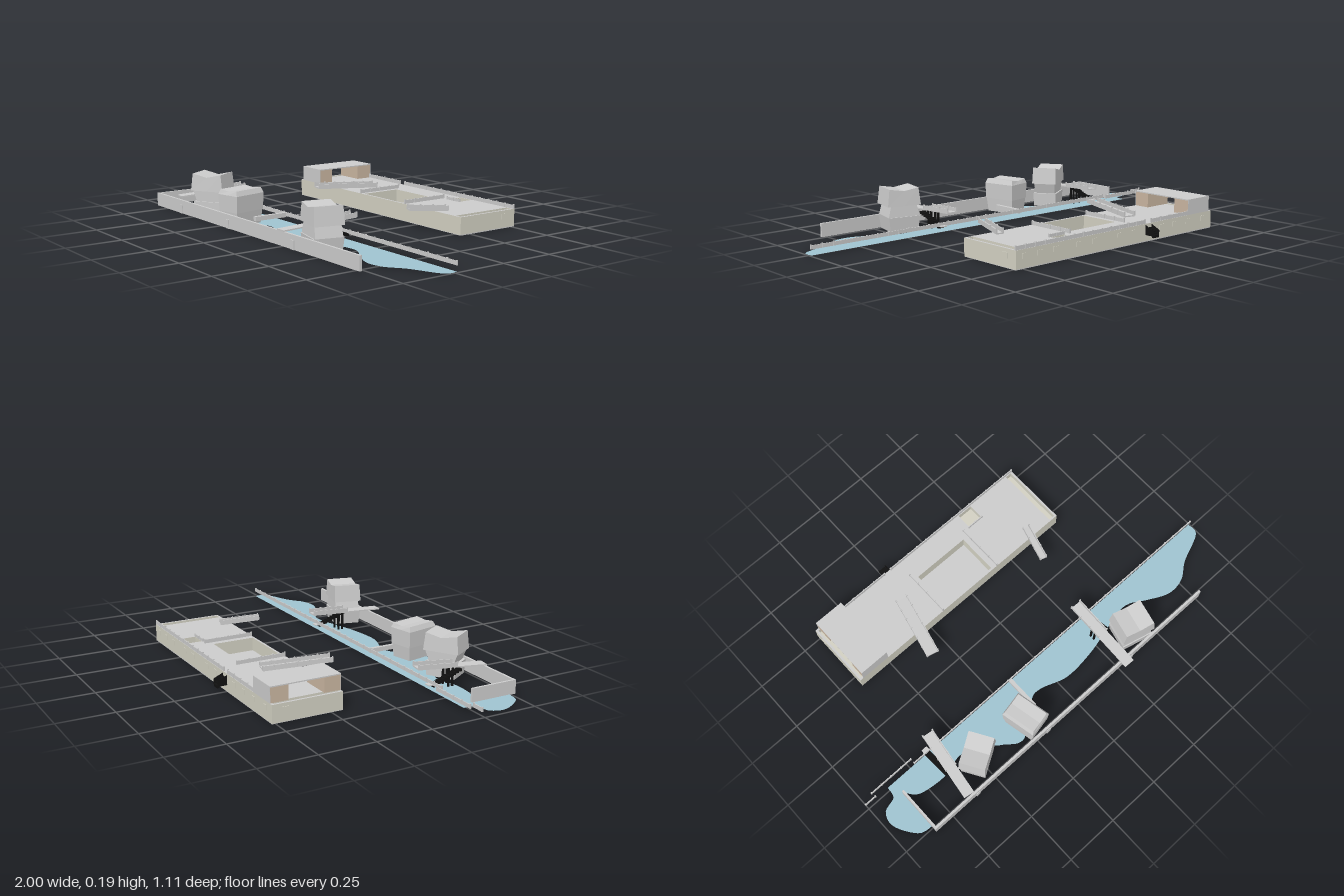
import * as THREE from 'three';

const mat = (color) => new THREE.MeshStandardMaterial({ color, flatShading: true, side: THREE.DoubleSide });
const grey = mat(0xcccccc), stone = mat(0xd2d0c2), tan = mat(0xc9b5a0), black = mat(0x111111), blue = mat(0x9fc3d0);

function add(parent, name, geo, material = grey, x = 0, y = 0, z = 0) {
  const m = new THREE.Mesh(geo, material);
  m.name = name;
  m.position.set(x, y, z);
  parent.add(m);
  return m;
}

// Box given by its lower and upper corners
function block(parent, name, x0, x1, y0, y1, z0, z1, material = grey) {
  return add(parent, name, new THREE.BoxGeometry(x1 - x0, y1 - y0, z1 - z0), material,
    (x0 + x1) / 2, (y0 + y1) / 2, (z0 + z1) / 2);
}

// Parapet panel with regular posts, from a to b at base height y
function railing(parent, name, [ax, az], [bx, bz], y, h) {
  const g = new THREE.Group(), len = Math.hypot(bx - ax, bz - az);
  g.name = name;
  block(g, 'panel', 0, len, 0, h * 0.85, -0.002, 0.002);
  const n = Math.max(1, Math.round(len / 0.055));
  for (let i = 0; i <= n; i++) block(g, 'post', i * len / n - 0.0025, i * len / n + 0.0025, 0, h, -0.0035, 0.0035);
  g.position.set(ax, y, az);
  g.rotation.y = -Math.atan2(bz - az, bx - ax);
  parent.add(g);
}

// Sloping gangway with a floor and two side panels, from a to b
function gangway(parent, a, b, width, railLength) {
  const g = new THREE.Group(), A = new THREE.Vector3(...a), B = new THREE.Vector3(...b), len = A.distanceTo(B);
  g.name = 'gangway';
  block(g, 'gangwayFloor', -width / 2, width / 2, -0.003, 0.003, 0, len);
  for (const s of [-1, 1]) railing(g, 'gangwayRail', [s * width / 2, 0], [s * width / 2, railLength ?? len], 0, 0.023);
  g.position.copy(A);
  g.lookAt(B);
  parent.add(g);
}

// Stair flight running from the top (y1, z1) to the foot (y0, z0)
function stairs(parent, x0, x1, y0, z0, y1, z1, n) {
  const g = new THREE.Group();
  g.name = 'stairs';
  for (let i = 0; i < n; i++) {
    const za = z0 + (z1 - z0) * i / n, zb = z0 + (z1 - z0) * (i + 1) / n, y = y0 + (y1 - y0) * (i + 1) / n;
    block(g, 'step', x0, x1, y - 0.012, y, Math.min(za, zb), Math.max(za, zb), black);
  }
  parent.add(g);
}

// Crooked tower: each storey is [y0, y1, bottom w, bottom d, top w, top d, roof dip]
function tower(parent, name, x, z, angle, storeys) {
  const g = new THREE.Group();
  g.name = name;
  for (const [y0, y1, w0, d0, w1, d1, dip = 0] of storeys) {
    const geo = new THREE.BoxGeometry(1, y1 - y0, 1, 2, 1, 1), p = geo.attributes.position;
    for (let i = 0; i < p.count; i++) {
      const top = p.getY(i) > 0;
      if (top && Math.abs(p.getX(i)) < 0.1) p.setY(i, p.getY(i) - dip);
      p.setX(i, p.getX(i) * (top ? w1 : w0));
      p.setZ(i, p.getZ(i) * (top ? d1 : d0));
    }
    add(g, 'storey', geo, grey, 0, (y0 + y1) / 2, 0);
  }
  g.position.set(x, 0, z);
  g.rotation.y = angle;
  parent.add(g);
}

const rect = (C, x0, x1, z0, z1) => new C([[x0, -z0], [x1, -z0], [x1, -z1], [x0, -z1]].map((p) => new THREE.Vector2(...p)));

function buildHall() {
  const g = new THREE.Group();
  g.name = 'hall';
  // Body with a sunken court, a shaft and end slots
  const shape = rect(THREE.Shape, -0.662, 0.537, -0.515, -0.197);
  const holes = [[-0.147, 0.131, -0.4, -0.207], [0.195, 0.27, -0.505, -0.43], [0.497, 0.527, -0.505, -0.205], [-0.652, -0.63, -0.505, -0.205]];
  for (const h of holes) shape.holes.push(rect(THREE.Path, ...h));
  const body = new THREE.ExtrudeGeometry(shape, { depth: 0.078, bevelEnabled: false });
  body.rotateX(-Math.PI / 2);
  add(g, 'body', body, [grey, stone], 0, 0.002, 0);
  block(g, 'base', -0.662, 0.537, 0, 0.004, -0.515, -0.197);
  holes.forEach(([x0, x1, z0, z1], i) => block(g, 'wellFloor', x0, x1, 0.004, i ? 0.05 : 0.02, z0, z1, i ? stone : grey));

  // Cabin open from side to side
  block(g, 'cabinRoof', -0.645, -0.5, 0.145, 0.15, -0.515, -0.197);
  for (const [z0, z1, outer] of [[-0.272, -0.199, -0.198], [-0.513, -0.432, -0.514]]) {
    block(g, 'cabinEnd', -0.643, -0.502, 0.08, 0.145, z0, z1, tan);
    block(g, 'cabinFace', -0.645, -0.5, 0.08, 0.146, outer - 0.001, outer + 0.001);
  }

  // Deck railings
  railing(g, 'backRailing', [-0.5, -0.511], [-0.255, -0.511], 0.08, 0.02);
  railing(g, 'backRailing', [-0.217, -0.511], [0.535, -0.511], 0.08, 0.02);
  for (const x of [-0.17, 0.16]) railing(g, 'courtRailing', [x, -0.43], [x, -0.2], 0.08, 0.02);
  railing(g, 'shaftRailing', [0.19, -0.427], [0.275, -0.427], 0.08, 0.015);

  // Framed windows
  for (const x of [-0.6, -0.5, -0.41, -0.32, -0.14, -0.05, 0.1, 0.19, 0.32, 0.41, 0.49]) {
    block(g, 'backWindow', x - 0.014, x + 0.014, 0.042, 0.064, -0.517, -0.514, stone);
  }
  for (const x of [-0.663, 0.538]) block(g, 'endWindow', x - 0.002, x + 0.002, 0.041, 0.065, -0.47, -0.437, stone);

  stairs(g, -0.253, -0.219, 0.028, -0.56, 0.075, -0.49, 7);
  for (const x of [-0.255, -0.217]) {
    const side = new THREE.Shape([[0.49, 0.08], [0.515, 0.075], [0.56, 0.055], [0.56, 0.03], [0.515, 0.03], [0.49, 0.06]].map((p) => new THREE.Vector2(...p)));
    add(g, 'stairSide', new THREE.ShapeGeometry(side).rotateY(Math.PI / 2), black, x, 0, 0);
  }
  gangway(g, [-0.275, 0.083, -0.365], [-0.345, 0.096, -0.07], 0.054);
  gangway(g, [0.388, 0.083, -0.247], [0.337, 0.096, -0.075], 0.03);
  return g;
}

function buildQuay() {
  const g = new THREE.Group();
  g.name = 'quay';
  // Water sheet with a wavy shore
  const v = (list) => list.map(([x, z]) => new THREE.Vector2(x, -z));
  const water = new THREE.Shape();
  water.moveTo(-0.88, -0.235);
  water.lineTo(0.995, -0.235);
  water.splineThru(v([[0.985, 0.295], [0.85, 0.355], [0.77, 0.41], [0.68, 0.42], [0.58, 0.375], [0.5, 0.33], [0.42, 0.33], [0.33, 0.355],
    [0.2, 0.385], [0.05, 0.395], [-0.08, 0.355], [-0.15, 0.37], [-0.29, 0.475], [-0.38, 0.43], [-0.45, 0.38], [-0.55, 0.34], [-0.66, 0.365],
    [-0.79, 0.35], [-0.84, 0.3]]));
  water.lineTo(-0.845, -0.492);
  water.splineThru(v([[-0.91, 0.475], [-0.97, 0.38], [-0.955, 0.31], [-0.89, 0.285], [-0.88, 0.235]]));
  add(g, 'water', new THREE.ShapeGeometry(water, 8).rotateX(-Math.PI / 2), blue, 0, 0.002, 0);

  // Quay walls
  block(g, 'frontWall', -0.848, 0.77, 0, 0.062, 0.511, 0.522);
  block(g, 'returnWall', -0.848, -0.838, 0, 0.062, 0.3, 0.512);
  block(g, 'crossSlab', -0.167, -0.15, 0.022, 0.042, 0.24, 0.4);
  for (const x of [-0.605, -0.187, 0.325]) block(g, 'wallPier', x - 0.011, x + 0.011, 0, 0.04, 0.521, 0.526);

  // Shore railing
  railing(g, 'shoreRailing', [-1, 0.235], [-0.945, 0.235], 0.027, 0.02);
  railing(g, 'shoreRailing', [-0.95, 0.214], [-0.725, 0.214], 0.027, 0.02);
  railing(g, 'shoreRailing', [-0.725, 0.237], [0.995, 0.237], 0.027, 0.02);

  // Towers
  tower(g, 'leftTower', -0.508, 0.409, 0.55, [
    [0, 0.065, 0.13, 0.11, 0.14, 0.115], [0.065, 0.115, 0.115, 0.1, 0.15, 0.105], [0.115, 0.195, 0.163, 0.122, 0.145, 0.116, 0.016]]);
  tower(g, 'middleTower', -0.235, 0.422, 0.21, [
    [0, 0.065, 0.1, 0.14, 0.11, 0.155], [0.065, 0.14, 0.114, 0.158, 0.12, 0.164], [0.14, 0.162, 0.12, 0.164, 0.1, 0.15, 0.006]]);
  tower(g, 'rightTower', 0.405, 0.432, -0.245, [
    [0, 0.065, 0.135, 0.12, 0.15, 0.132], [0.065, 0.115, 0.15, 0.122, 0.125, 0.115], [0.115, 0.195, 0.16, 0.132, 0.14, 0.125, 0.012]]);

  // Piers with gangways, posts and stairs
  gangway(g, [-0.602, 0.093, 0.19], [-0.645, 0.075, 0.51], 0.05, 0.18);
  gangway(g, [0.29, 0.093, 0.19], [0.28, 0.077, 0.552], 0.05, 0.18);
  for (const [px, sx] of [[-0.628, -0.665], [0.285, 0.3]]) {
    stairs(g, sx, sx + 0.028, 0.025, 0.238, 0.078, 0.38, 10);
    for (const z of [0.325, 0.345]) for (const s of [-1, 1]) {
      block(g, 'pierPost', px + s * 0.02 - 0.004, px + s * 0.02 + 0.004, 0, 0.083, z - 0.004, z + 0.004, black);
    }
    block(g, 'landing', sx, sx + 0.03, 0.027, 0.031, 0.215, 0.24);
  }
  return g;
}

export function createModel() {
  const model = new THREE.Group();
  model.name = 'harbour';
  model.add(buildHall(), buildQuay());
  return model;
}
